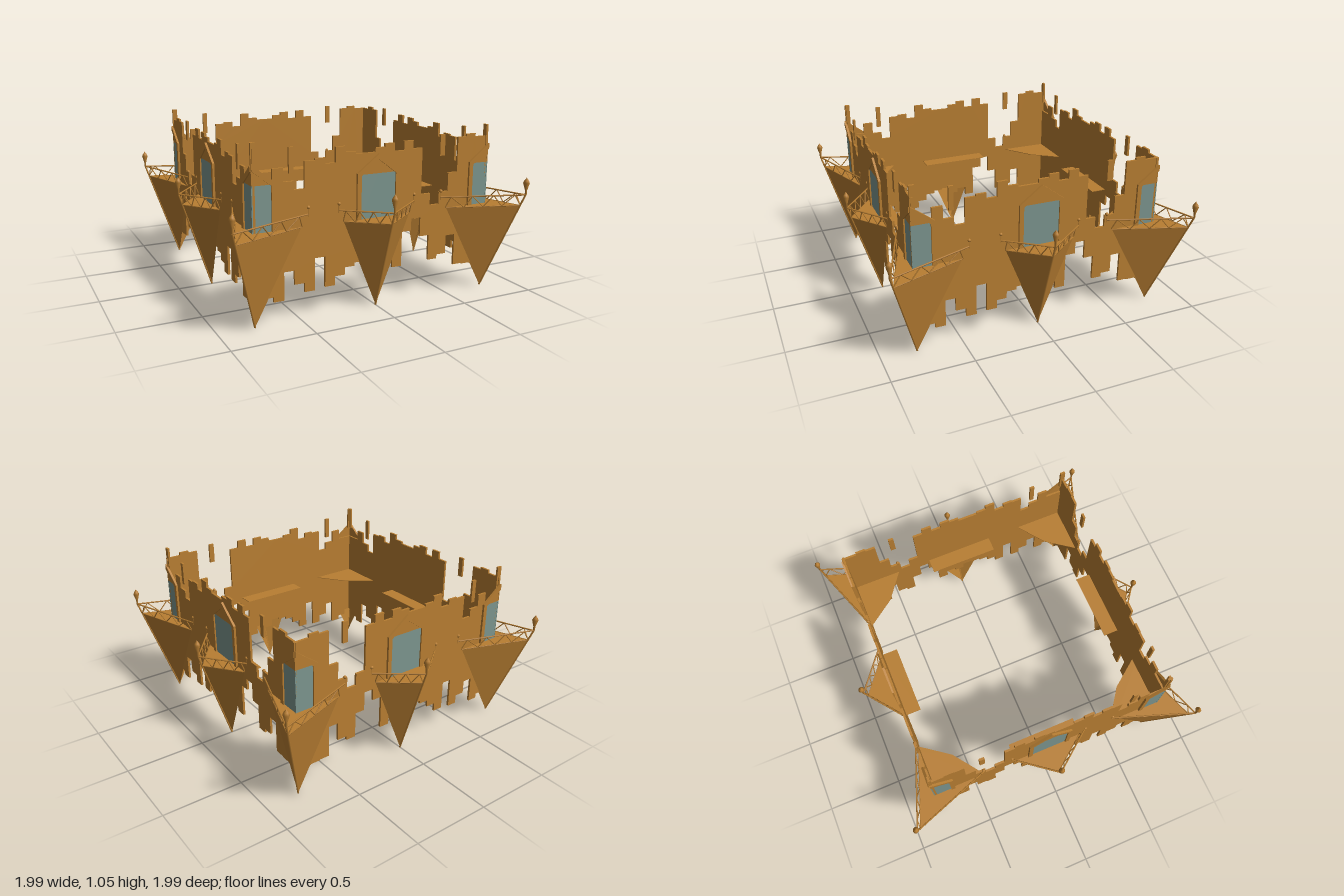
import * as THREE from 'three';

const wood = new THREE.MeshStandardMaterial({ color: 0xb87e32, side: THREE.DoubleSide });
wood.name = 'amber wood';
const glass = new THREE.MeshStandardMaterial({ color: 0x7c958e });
glass.name = 'grey teal glass';

const WALL = 0.775, HALF = 0.787, THICK = 0.014, FACE = 0.782, FLOOR = 0.55;

function mesh(name, geo, mat = wood) {
  const m = new THREE.Mesh(geo, mat);
  m.name = name;
  return m;
}
const V = (x, y, z) => new THREE.Vector3(x, y, z);

// thin plate from outline points, extruded along +z
function plate(points, depth) {
  const shape = new THREE.Shape(points.map(([x, y]) => new THREE.Vector2(x, y)));
  return new THREE.ExtrudeGeometry(shape, { depth, bevelEnabled: false });
}

// slim rod between two points
function rod(name, a, b, r) {
  const d = b.clone().sub(a);
  const m = mesh(name, new THREE.CylinderGeometry(r, r, d.length(), 5));
  m.position.copy(a).add(b).multiplyScalar(0.5);
  m.quaternion.setFromUnitVectors(V(0, 1, 0), d.normalize());
  return m;
}

// ragged wall: equal columns, each with its own top and bottom height
const START = -0.793, STEP = 0.0645;
const TOPS = [0.83, 0.83, 0.9, 0.82, 0.77, 0.925, 0.935, 0.9, 0.99, 0.955, 0.94, 0.94, 0.965,
  0.985, 0.935, 0.99, 0.94, 0.655, 0.58, 0.655, 0.77, 0.985, 1.0, 0.98, 0.98];
const BOTTOMS = [0.2, 0.16, 0.13, 0.3, 0.215, 0.16, 0.355, 0.17, 0.225, 0.27, 0.29, 0.3, 0.25,
  0.28, 0.22, 0.435, 0.51, 0.39, 0.23, 0.255, 0.37, 0.17, 0.165, 0.16, 0.2];
function makeWall() {
  const g = new THREE.Group();
  g.name = 'raggedWall';
  const edge = (k) => THREE.MathUtils.clamp(START + k * STEP, -HALF, HALF);
  const top = TOPS.flatMap((y, k) => [[edge(k), y], [edge(k + 1), y]]);
  const bottom = BOTTOMS.flatMap((y, k) => [[edge(k), y], [edge(k + 1), y]]).reverse();
  g.add(mesh('wallPanel', plate([...top, ...bottom], THICK).translate(0, 0, -THICK / 2)));
  // loose boards above the wall
  for (const [x0, x1, y0, y1] of [[-0.787, -0.755, 0.9, 1.05], [-0.565, -0.536, 0.865, 1.01], [0.432, 0.466, 0.88, 1.01]]) {
    const b = mesh('looseBoard', new THREE.BoxGeometry(x1 - x0, y1 - y0, THICK));
    b.position.set((x0 + x1) / 2, (y0 + y1) / 2, 0);
    g.add(b);
  }
  return g;
}

// half of a gabled window, growing from x0 in direction dir
function halfWindow(x0, dir) {
  const g = new THREE.Group();
  g.name = 'halfWindow';
  const at = (pts) => pts.map(([x, y]) => [x0 + dir * x, y]);
  const frame = plate(at([[0, 0.932], [0.142, 0.825], [0.142, FLOOR], [0.115, FLOOR], [0.115, 0.81], [0, 0.897]]), 0.015);
  const gable = plate(at([[0, 0.815], [0, 0.897], [0.108, 0.815]]), 0.006);
  const pane = plate(at([[0, FLOOR], [0.115, FLOOR], [0.115, 0.81], [0.108, 0.815], [0, 0.815]]), 0.006);
  for (const geo of [frame, gable, pane]) geo.translate(0, 0, FACE - 0.001);
  g.add(mesh('windowFrame', frame), mesh('windowGable', gable), mesh('windowPane', pane, glass));
  return g;
}

// balcony: pointed spire below, thin floor, lattice railing and lantern
function makeBalcony(name, tip, a, o, b, inner) {
  const g = new THREE.Group();
  g.name = name;
  const spire = new THREE.BufferGeometry().setFromPoints([tip, o, a, tip, b, o]);
  spire.computeVertexNormals();
  g.add(mesh('spire', spire));

  const outline = [a, o, b].map((p) => [p.x, -p.z]).concat(inner.map(([x, z]) => [x, -z]));
  g.add(mesh('floor', plate(outline, 0.004).rotateX(-Math.PI / 2).translate(0, FLOOR - 0.004, 0)));

  // railing leans outward along the slope of the spire
  const lean = (p) => tip.clone().lerp(p, 0.62 / FLOOR);
  const corner = lean(o);
  g.add(rod('spireRidge', tip, corner, 0.006));
  for (const end of [a, b]) {
    const railEnd = lean(end);
    g.add(rod('topRail', railEnd, corner, 0.005));
    g.add(rod('bottomRail', end, o, 0.003));
    const n = 8;
    const point = (i) => {
      const p = end.clone().lerp(o, i / n);
      return i % 2 ? lean(p) : p;
    };
    for (let i = 0; i < n; i++) g.add(rod('lattice', point(i), point(i + 1), 0.0035));
    g.add(rod('endPost', railEnd.clone().setY(0.605), railEnd.clone().setY(0.66), 0.004));
    const knob = mesh('endKnob', new THREE.SphereGeometry(0.011, 8, 6));
    knob.position.copy(railEnd).setY(0.66);
    g.add(knob);
  }
  // lantern on the outer point
  const lantern = new THREE.LatheGeometry(
    [[0, 0.61], [0.006, 0.62], [0.007, 0.65], [0.02, 0.695], [0.014, 0.71], [0, 0.73]].map(([x, y]) => new THREE.Vector2(x, y)), 8);
  const l = mesh('lantern', lantern);
  l.position.set(corner.x, 0, corner.z);
  g.add(l);
  return g;
}

export function createModel() {
  const model = new THREE.Group();
  model.name = 'floatingWalls';

  // opposite walls share the same ragged outline
  for (const s of [-1, 1]) {
    const across = makeWall();
    across.position.z = s * WALL;
    const along = makeWall();
    along.rotation.y = Math.PI / 2;
    along.position.x = s * WALL;
    model.add(across, along);
  }

  // windows and balconies repeat around the four sides
  for (let k = 0; k < 4; k++) {
    const side = new THREE.Group();
    side.name = 'side';
    side.rotation.y = k * Math.PI / 2;
    side.add(halfWindow(0, 1), halfWindow(0, -1), halfWindow(-FACE - 0.006, 1), halfWindow(FACE + 0.006, -1));
    side.add(makeBalcony('middleBalcony', V(0, 0, 0.78), V(-0.225, FLOOR, 0.78), V(0, FLOOR, 0.953),
      V(0.225, FLOOR, 0.78), [[0.228, 0.78], [0.228, 0.67], [-0.228, 0.67], [-0.228, 0.78]]));
    side.add(makeBalcony('cornerBalcony', V(0.78, 0, 0.78), V(0.485, FLOOR, 0.78), V(0.94, FLOOR, 0.94),
      V(0.78, FLOOR, 0.485), [[0.775, 0.45], [0.588, 0.588], [0.45, 0.775]]));
    model.add(side);
  }
  return model;
}
